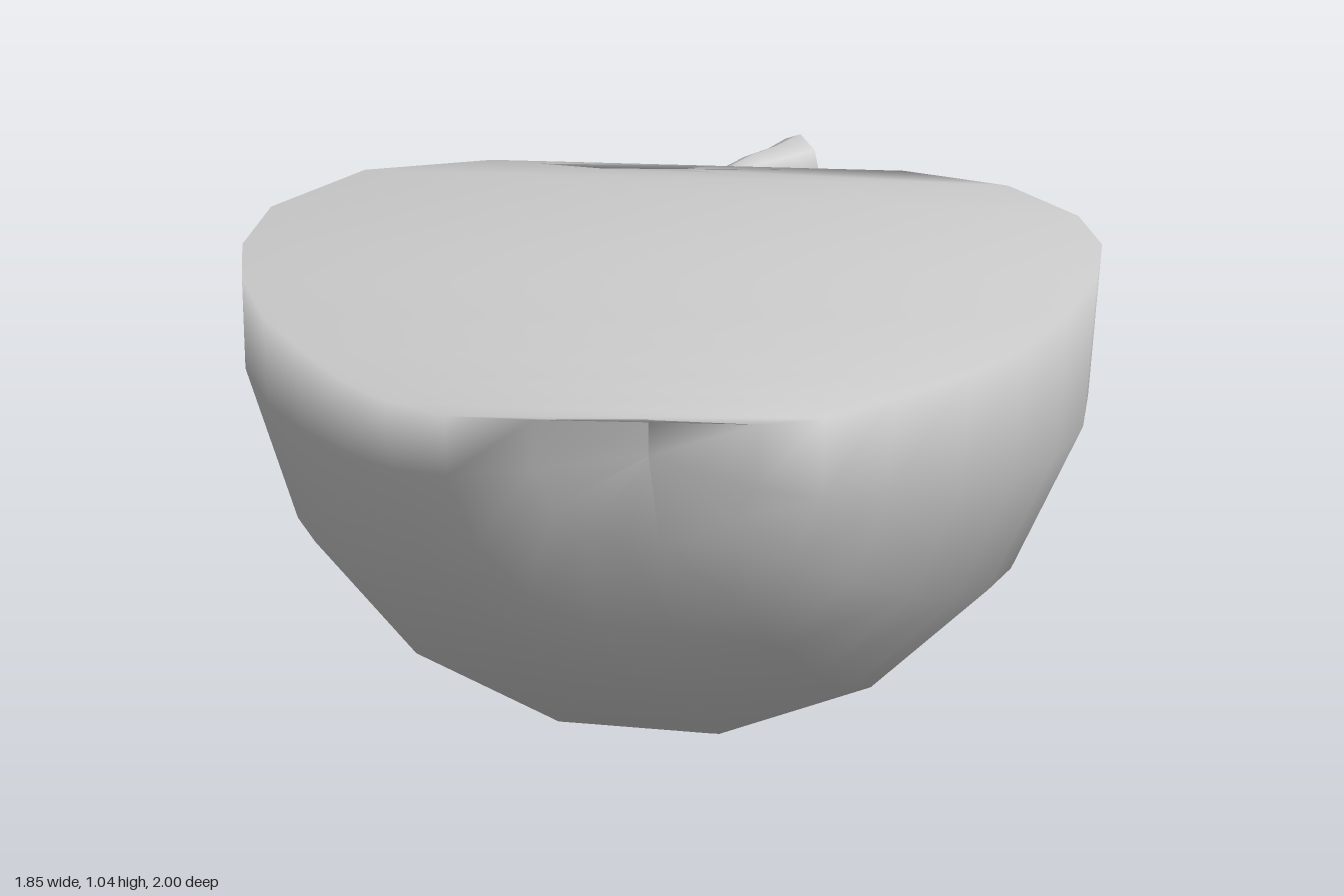
import * as THREE from 'three';
import { mergeVertices } from 'three/addons/utils/BufferGeometryUtils.js';

// Length profiles [radius, z] from blossom end (front) to stem end (back)
const RIGHT = [[0, .965], [.24, .99], [.38, .95], [.52, .82], [.68, .66], [.79, .48], [.87, .28],
  [.92, .03], [.92, -.18], [.86, -.36], [.7, -.55], [.47, -.64], [.2, -.61], [0, -.58]];
const LEFT = [[0, .96], [.25, .97], [.44, .95], [.57, .86], [.68, .71], [.78, .52], [.86, .33],
  [.92, .08], [.93, -.14], [.88, -.38], [.69, -.62], [.42, -.69], [.18, -.64], [0, -.58]];
const BOTTOM = [[0, .965], [.2, .985], [.42, .91], [.57, .8], [.7, .63], [.82, .43], [.89, .23],
  [.935, .03], [.94, -.2], [.87, -.41], [.74, -.56], [.54, -.62], [.27, -.635], [0, -.59]];
const AXIS_Y = .94;

// Halved fruit: closed loops along z, each a lower half ring closed by the flat cut
function halfFruit() {
  const positions = [], index = [];
  const cutY = (x, z) => 1.034 + .009 * x - .012 * z;
  const angles = [345, 322.5, 300, 277.5, 255, 232.5, 210, 187.5].map(THREE.MathUtils.degToRad);
  const cols = angles.length + 2;
  RIGHT.forEach(([rr, rz], i) => {
    const [lr, lz] = LEFT[i], [br, bz] = BOTTOM[i];
    positions.push(rr, cutY(rr, rz), rz);
    for (const a of angles) {
      const c = Math.cos(a), w = c * c;
      const [sr, sz] = c > 0 ? [rr, rz] : [lr, lz];
      const r = THREE.MathUtils.lerp(br, sr, w);
      positions.push(r * c, AXIS_Y + r * Math.sin(a), THREE.MathUtils.lerp(bz, sz, w));
    }
    positions.push(-lr, cutY(-lr, lz), lz);
  });
  for (let i = 0; i < RIGHT.length - 1; i++) {
    for (let j = 0; j < cols; j++) {
      const k = (j + 1) % cols;
      const a = i * cols + j, b = i * cols + k, c = a + cols, d = b + cols;
      index.push(a, b, c, b, d, c);
    }
  }
  let g = new THREE.BufferGeometry();
  g.setAttribute('position', new THREE.Float32BufferAttribute(positions, 3));
  g.setIndex(index);
  g = mergeVertices(g, 1e-4);
  g.computeVertexNormals();
  return g;
}

export function createModel() {
  const group = new THREE.Group();
  const grey = new THREE.MeshStandardMaterial({ color: 0xcccccc, side: THREE.DoubleSide });
  grey.name = 'light grey';
  const add = (geometry, name) => {
    const mesh = new THREE.Mesh(geometry, grey);
    mesh.name = name;
    group.add(mesh);
  };

  add(halfFruit(), 'halfFruit');

  // Curved stem, flaring towards its tip
  const curve = new THREE.CatmullRomCurve3([
    [.045, .96, -.56], [.055, .957, -.7], [.08, .953, -.8], [.125, .948, -.878],
    [.19, .943, -.922], [.23, .94, -.953],
  ].map(p => new THREE.Vector3(...p)));
  const steps = 8, sides = 8;
  const stem = new THREE.TubeGeometry(curve, steps, 1, sides);
  const pos = stem.attributes.position, v = new THREE.Vector3(), tip = [curve.getPointAt(1)];
  for (let i = 0; i < pos.count; i++) {
    const t = Math.floor(i / (sides + 1)) / steps, p = curve.getPointAt(t);
    v.fromBufferAttribute(pos, i).sub(p).multiplyScalar(.024 + .052 * t ** 3).add(p);
    pos.setXYZ(i, v.x, v.y, v.z);
    if (t === 1) tip.push(v.clone());
  }
  add(stem, 'stem');

  // Flat end of the stem, facing outwards
  const end = new THREE.BufferGeometry().setFromPoints(tip);
  const fan = [];
  for (let i = 1; i <= sides; i++) fan.push(0, i, i + 1);
  const n = tip[1].clone().sub(tip[0]).cross(tip[2].clone().sub(tip[0]));
  if (n.dot(curve.getTangentAt(1)) < 0) fan.reverse();
  end.setIndex(fan);
  end.computeVertexNormals();
  add(end, 'stemTip');

  return group;
}
